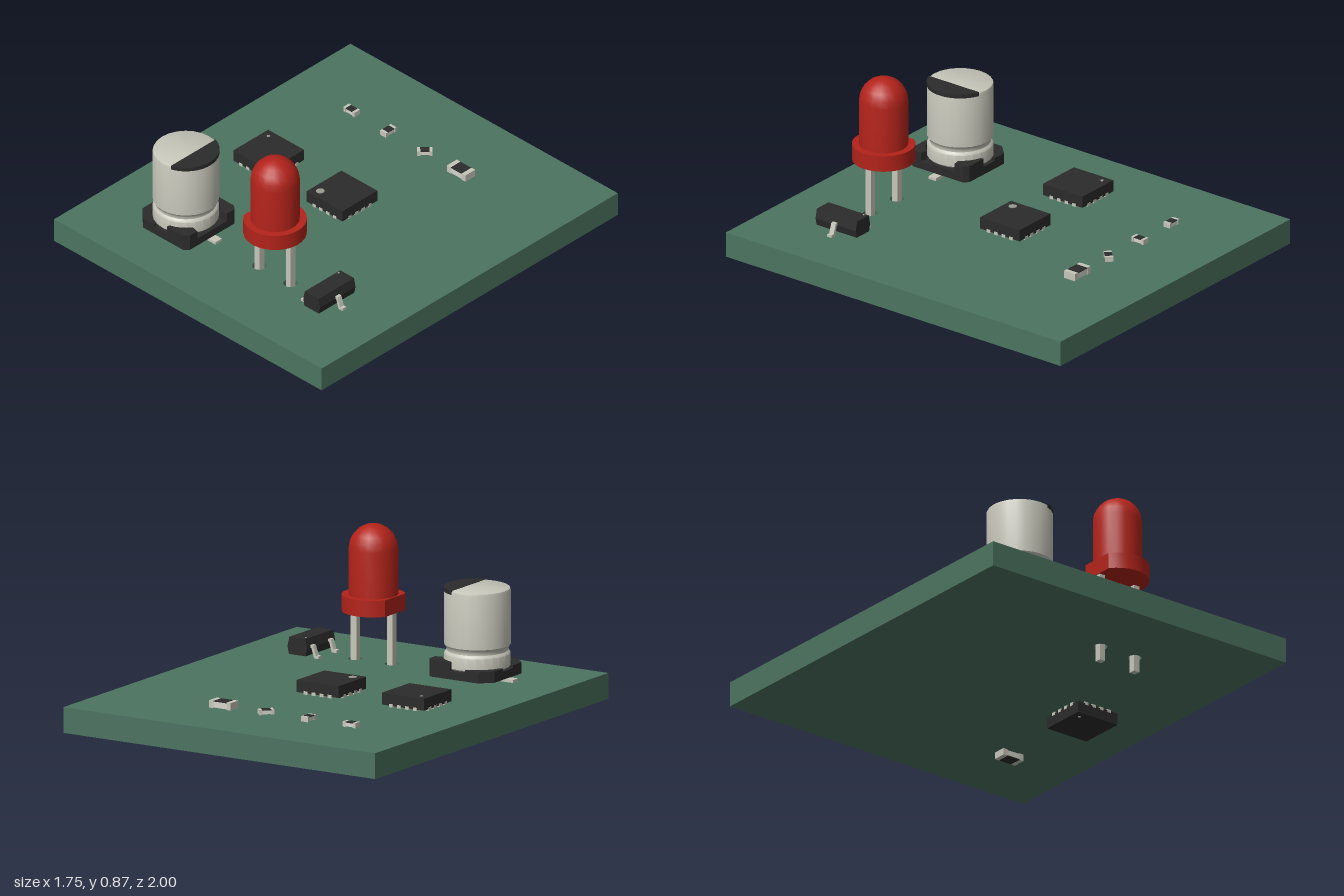
import * as THREE from 'three';
import { toCreasedNormals } from 'three/addons/utils/BufferGeometryUtils.js';

const mat = (color, opts = {}) => new THREE.MeshStandardMaterial({ color, ...opts });
const GREEN = mat(0x4c7460), BLACK = mat(0x2b2b2b), METAL = mat(0xc6c6ba);
const RED = mat(0xb3231a), DOT = mat(0x9a9a92), CERAMIC = mat(0xd6d6cc);
const TOP = 0.2, BOTTOM = 0.075;

function add(parent, name, geometry, material, x = 0, y = 0, z = 0) {
  const mesh = new THREE.Mesh(geometry, material);
  mesh.name = name;
  mesh.position.set(x, y, z);
  parent.add(mesh);
  return mesh;
}

function group(parent, name, x = 0, y = 0, z = 0) {
  const g = new THREE.Group();
  g.name = name;
  g.position.set(x, y, z);
  parent.add(g);
  return g;
}

const box = (w, h, d) => new THREE.BoxGeometry(w, h, d);
const outline = (pts) => new THREE.Shape(pts.map(([x, y]) => new THREE.Vector2(x, y)));

// Horizontal plate from a plan outline (outline y is -z), bottom at y = 0
function plate(shape, height, curveSegments = 12) {
  const g = new THREE.ExtrudeGeometry(shape, { depth: height, bevelEnabled: false, curveSegments });
  return toCreasedNormals(g.rotateX(-Math.PI / 2), 0.6);
}

// Upright outline given depth along z, centred
function prism(shape, depth) {
  return new THREE.ExtrudeGeometry(shape, { depth, bevelEnabled: false }).translate(0, 0, -depth / 2);
}

const lathe = (pts, segments) => toCreasedNormals(
  new THREE.LatheGeometry(pts.map(([r, y]) => new THREE.Vector2(r, y)), segments), 0.6);

// Flat square chip with four contacts on each side
function chip(parent, name, x, z, dotX, dotZ, dotR) {
  const g = group(parent, name, x, TOP, z);
  add(g, 'chipBody', box(0.236, 0.058, 0.236), BLACK, 0, 0.036, 0);
  for (let side = 0; side < 4; side++) {
    const row = group(g, 'contactRow');
    row.rotation.y = side * Math.PI / 2;
    for (let i = 0; i < 4; i++)
      add(row, 'contact', box(0.021, 0.016, 0.03), METAL, (i - 1.5) * 0.045, 0.008, 0.1045);
  }
  add(g, 'pinOneDot', new THREE.CylinderGeometry(dotR, dotR, 0.004, 12), DOT, dotX, 0.066, dotZ);
  return g;
}

// Small chip resistor: pale body, dark top film, metal end caps
function resistor(parent, name, x, length, width, height, turn = 0) {
  const g = group(parent, name, x, TOP, -0.6);
  g.rotation.y = turn;
  const cap = length * 0.2;
  add(g, 'resistorBody', box(length - 0.006, height - 0.006, width - 0.003), CERAMIC, 0, height / 2, 0);
  add(g, 'resistorFilm', box(length - 2 * cap, 0.004, width - 0.002), BLACK, 0, height - 0.002, 0);
  for (const s of [-1, 1])
    add(g, 'endCap', box(cap, height, width), METAL, s * (length - cap) / 2, height / 2, 0);
  return g;
}

// Turn a top-side part over onto the underside of the board
function flip(part) {
  part.rotation.x = Math.PI;
  part.position.y = BOTTOM;
}

function capacitor(parent) {
  const g = group(parent, 'capacitor', -0.402, TOP, 0.6);
  const h = 0.172, c = 0.115, r = 0.15;
  add(g, 'capacitorBase', plate(outline([[-h, -c], [-c, -h], [r, -h], [h, -r],
    [h, r], [r, h], [-c, h], [-h, c]]), 0.04), BLACK, 0, 0.014, 0);
  // Raised corners hugging the can
  for (const s of [-1, 1]) {
    const arc = (from, to) => [0, 1, 2, 3, 4].map((i) => {
      const a = from + (to - from) * i / 4;
      return [0.163 * Math.cos(a), s * 0.163 * Math.sin(a)];
    });
    add(g, 'rightCorner', plate(outline([[0.042, s * h], [r, s * h], [h, s * r], [h, s * 0.1],
      ...arc(0.6, 1.3)]), 0.082), BLACK, 0, 0.014, 0);
    add(g, 'leftCorner', plate(outline([[-0.042, s * h], [-c, s * h], [-h, s * c], [-h, s * 0.042],
      ...arc(Math.PI - 0.25, Math.PI - 1.32)]), 0.054), BLACK, 0, 0.014, 0);
    add(g, 'terminal', box(0.15, 0.014, 0.044), METAL, s * 0.14, 0.007, 0);
  }
  // Can with crimped groove
  add(g, 'can', lathe([[0, 0.05], [0.148, 0.05], [0.157, 0.06], [0.157, 0.118], [0.152, 0.126],
    [0.146, 0.132], [0.146, 0.142], [0.152, 0.154], [0.158, 0.162], [0.158, 0.422],
    [0.155, 0.431], [0.147, 0.435], [0, 0.435]], 24), METAL);
  const a = Math.acos(0.048 / 0.1585);
  const mark = new THREE.Shape();
  mark.absarc(0, 0, 0.1585, -a, a);
  add(g, 'polarityMark', plate(mark, 0.02), BLACK, 0, 0.417, 0);
}

function lamp(parent) {
  const g = group(parent, 'lamp', 0.183, 0, 0.6);
  const dome = [[0, 0.45], [0.117, 0.45], [0.117, 0.748]];
  for (let i = 1; i <= 5; i++) {
    const a = i * Math.PI / 10;
    dome.push([i === 5 ? 0 : 0.117 * Math.cos(a), 0.748 + 0.117 * Math.sin(a)]);
  }
  add(g, 'lampDome', lathe(dome, 18), RED);
  // Flange with one flat side
  const a = Math.acos(-0.122 / 0.15);
  const flange = new THREE.Shape();
  flange.absarc(0, 0, 0.15, -a, a);
  add(g, 'lampFlange', plate(flange, 0.08), RED, 0, 0.445, 0);
  for (const s of [-1, 1])
    add(g, 'lampLead', box(0.032, 0.45, 0.032), METAL, s * 0.102, 0.225, 0);
}

function transistor(parent) {
  const g = group(parent, 'transistor', 0.52, TOP, 0.58);
  add(g, 'transistorBody', prism(outline([[-0.047, 0.013], [0.047, 0.013], [0.055, 0.05],
    [0.045, 0.096], [-0.045, 0.096], [-0.055, 0.05]]), 0.24), BLACK);
  // Gull-wing leads
  const lead = prism(outline([[0.04, 0.062], [0.068, 0.062], [0.084, 0.013], [0.1, 0.013],
    [0.1, 0], [0.074, 0], [0.059, 0.049], [0.04, 0.049]]), 0.026);
  for (const [turn, z] of [[0, 0.002], [Math.PI, -0.076], [Math.PI, 0.076]])
    add(g, 'transistorLead', lead, METAL, 0, 0, z).rotation.y = turn;
  add(g, 'pinOneDot', new THREE.CylinderGeometry(0.005, 0.005, 0.003, 10), DOT, -0.034, 0.097, -0.098);
}

export function createModel() {
  const model = new THREE.Group();
  model.name = 'circuitBoard';

  // Board with two through holes for the lamp leads
  const board = outline([[-0.877, -1], [0.877, -1], [0.877, 1], [-0.877, 1]]);
  for (const x of [0.081, 0.285]) {
    const hole = new THREE.Path();
    hole.absarc(x, -0.6, 0.034, 0, Math.PI * 2, true);
    board.holes.push(hole);
  }
  add(model, 'board', plate(board, TOP - BOTTOM, 8), GREEN, 0, BOTTOM, 0);

  chip(model, 'leftChip', -0.482, -0.042, -0.08, -0.08, 0.008);
  chip(model, 'middleChip', -0.002, -0.042, -0.072, 0.072, 0.02);
  flip(chip(model, 'undersideChip', 0.478, -0.042, -0.08, -0.08, 0.008));

  resistor(model, 'smallResistor', -0.48, 0.072, 0.038, 0.025);
  resistor(model, 'turnedResistor', -0.24, 0.072, 0.038, 0.025, Math.PI / 2);
  resistor(model, 'diagonalResistor', 0, 0.072, 0.038, 0.025, Math.PI / 4);
  resistor(model, 'largeResistor', 0.238, 0.12, 0.066, 0.036);
  flip(resistor(model, 'undersideResistor', 0.48, 0.12, 0.066, 0.034));

  capacitor(model);
  lamp(model);
  transistor(model);
  return model;
}
